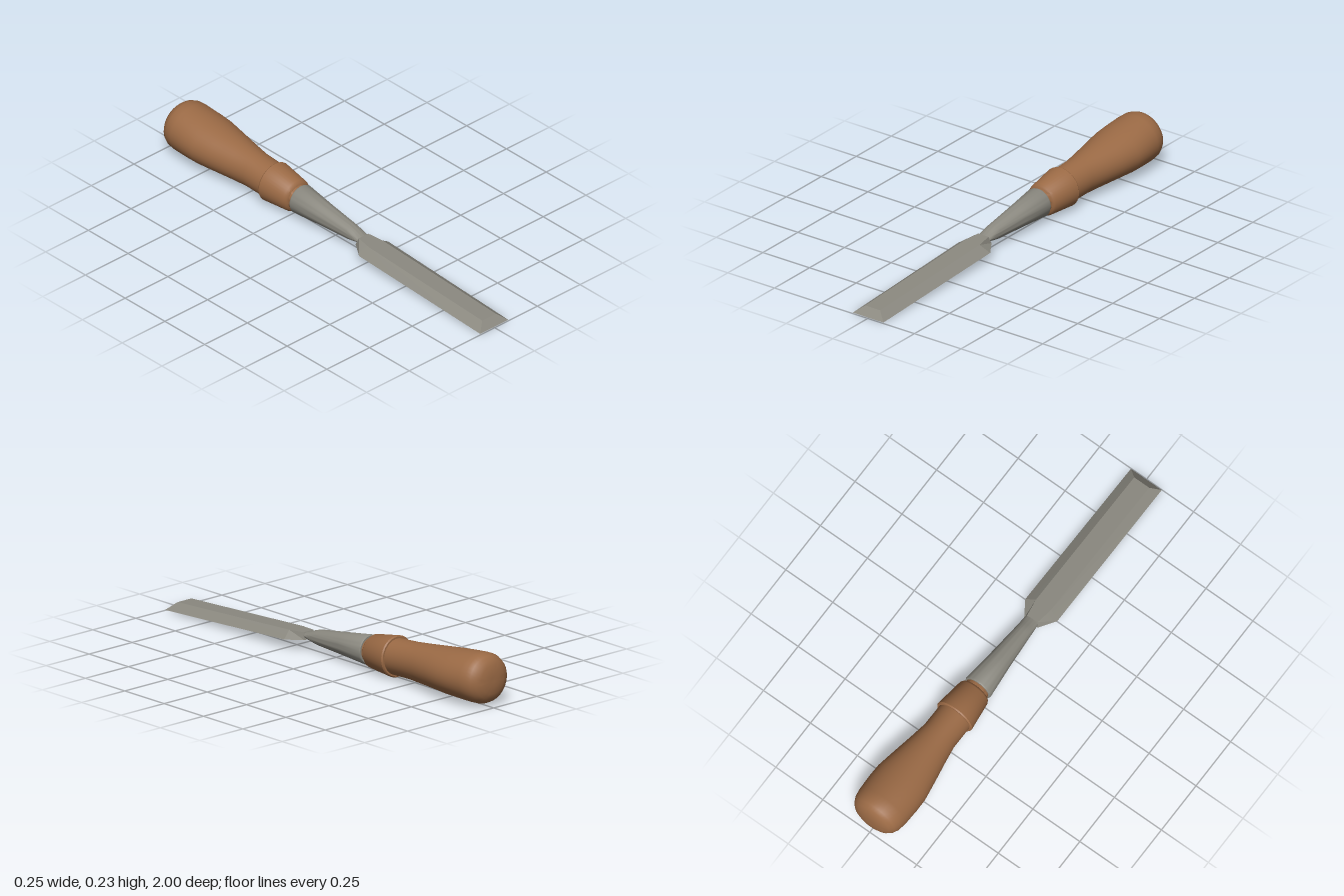
import * as THREE from 'three';
import { toCreasedNormals } from 'three/addons/utils/BufferGeometryUtils.js';

// Closed skin over rings of points; rings run from +z to -z, points counter-clockwise seen from +z
function loft(rings, crease) {
  const n = rings[0].length, index = [], last = (rings.length - 1) * n;
  for (let i = 0; i < rings.length - 1; i++) {
    for (let j = 0; j < n; j++) {
      const a = i * n + j, b = i * n + (j + 1) % n;
      index.push(a, a + n, b, b, a + n, b + n);
    }
  }
  for (let j = 1; j < n - 1; j++) {
    index.push(0, j, j + 1, last, last + j + 1, last + j);
  }
  const geometry = new THREE.BufferGeometry();
  geometry.setAttribute('position', new THREE.Float32BufferAttribute(rings.flat(2), 3));
  geometry.setIndex(index);
  return toCreasedNormals(geometry, crease);
}

// Elliptical ring: z, half width, half height
function oval([z, rx, ry = rx], sides = 40) {
  return Array.from({ length: sides }, (_, i) => {
    const t = (i / sides) * Math.PI * 2;
    return [rx * Math.cos(t), ry * Math.sin(t), z];
  });
}

// Bevelled blade section: bottom and top half widths, with their own z
function trapezoid([zBottom, wBottom, zTop, wTop]) {
  const h = 0.016;
  return [[wBottom, -h, zBottom], [wTop, h, zTop], [-wTop, h, zTop], [-wBottom, -h, zBottom]];
}

export function createModel() {
  const steel = new THREE.MeshStandardMaterial({ color: 0x8b8980 });
  steel.name = 'steel';
  const wood = new THREE.MeshStandardMaterial({ color: 0x9b6a45 });
  wood.name = 'wood';

  const model = new THREE.Group();
  model.name = 'chisel';
  const tool = new THREE.Group();
  tool.name = 'tiltedTool';
  model.add(tool);

  const add = (name, geometry, material) => {
    const mesh = new THREE.Mesh(geometry, material);
    mesh.name = name;
    tool.add(mesh);
  };

  // Blade with ground tip, bevelled sides and tapered shoulders
  add('blade', loft([
    [1, 0.082, 0.965, 0.04],
    [0.24, 0.085, 0.255, 0.04],
    [0.165, 0.036, 0.175, 0.028],
  ].map(trapezoid), 0.1), steel);

  // Conical socket flaring out of the flat neck
  add('socket', loft([
    [0.19, 0.031, 0.012],
    [0.165, 0.034, 0.015],
    [0.135, 0.036, 0.026],
    [0.1, 0.038, 0.035],
    [-0.06, 0.051, 0.051],
    [-0.215, 0.067],
    [-0.222, 0.064],
  ].map((r) => oval(r)), 0.6), steel);

  // Narrow wooden tenon and flared collar
  add('collar', loft([
    [-0.21, 0.056],
    [-0.236, 0.058],
    [-0.24, 0.068],
    [-0.25, 0.075],
    [-0.378, 0.091],
    [-0.386, 0.092],
    [-0.392, 0.088],
  ].map((r) => oval(r)), 0.6), wood);

  // Handle swelling to a rounded butt, wider than tall
  add('handle', loft([
    [-0.38, 0.08],
    [-0.5, 0.08, 0.083],
    [-0.58, 0.093, 0.088],
    [-0.68, 0.111, 0.095],
    [-0.77, 0.126, 0.102],
    [-0.83, 0.127, 0.106],
    [-0.91, 0.124, 0.111],
    [-0.945, 0.118, 0.111],
    [-0.968, 0.107, 0.102],
    [-0.984, 0.09, 0.086],
    [-0.994, 0.066, 0.063],
    [-0.999, 0.035, 0.033],
    [-1, 0.01, 0.01],
  ].map((r) => oval(r)), 0.6), wood);

  // Lying at rest on the collar and the cutting edge
  tool.rotation.x = 0.0525;
  tool.position.y = 0.074;
  return model;
}
